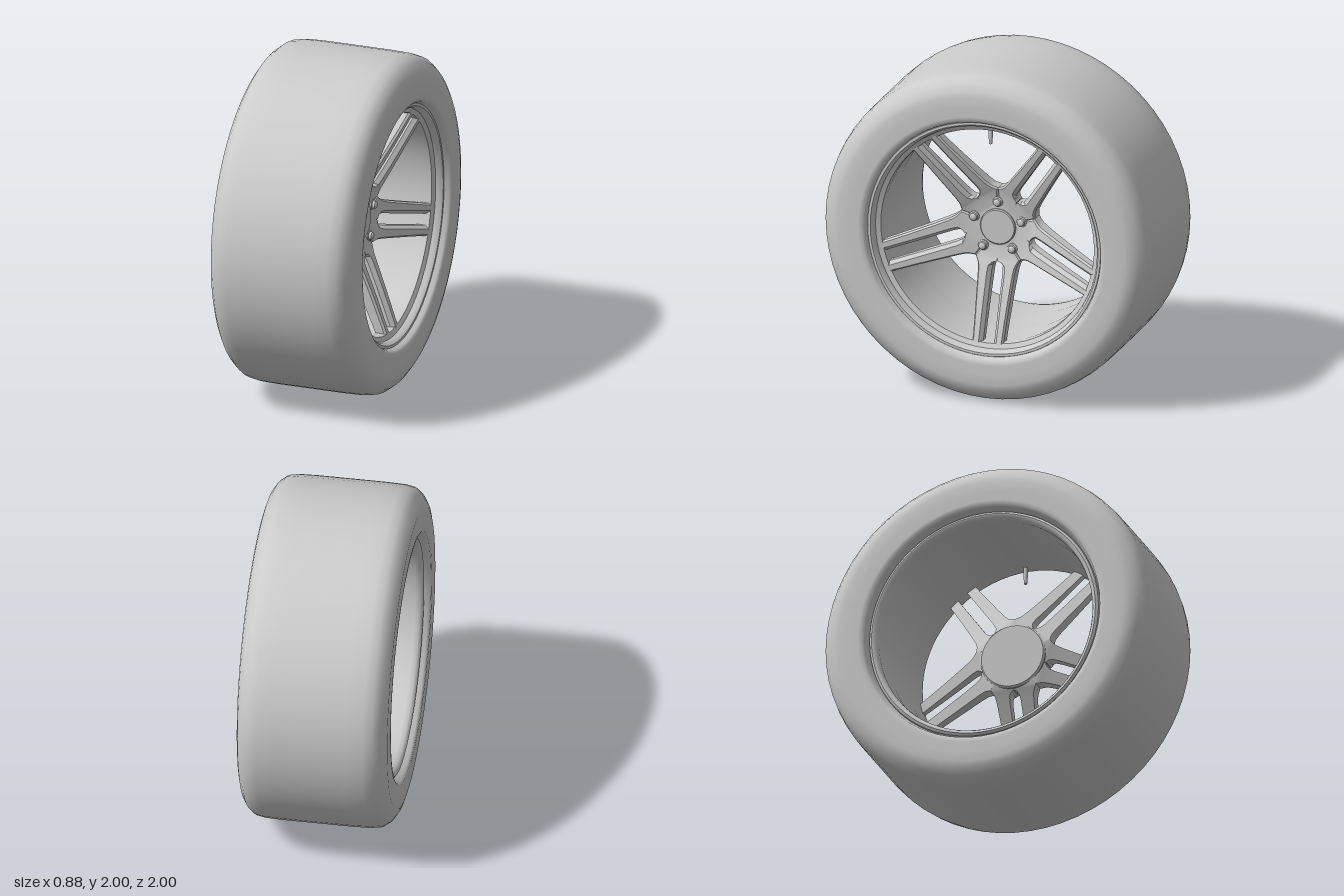
import * as THREE from 'three';
import { toCreasedNormals } from 'three/addons/utils/BufferGeometryUtils.js';

const mat = new THREE.MeshStandardMaterial({ color: 0xcccccc });

function add(parent, name, geometry) {
  const mesh = new THREE.Mesh(geometry, mat);
  mesh.name = name;
  parent.add(mesh);
  return mesh;
}

// Revolve [x, radius] points about the x axis
function revolve(points, segments, crease = 0.6) {
  const geo = new THREE.LatheGeometry(points.map(([x, r]) => new THREE.Vector2(r, x)), segments);
  geo.rotateZ(-Math.PI / 2);
  return toCreasedNormals(geo, crease);
}

// Dished wheel face: x of the front surface at a given radius
const faceX = (r) => 0.165 + 0.185 * Math.pow(Math.max(0, (r - 0.17) / 0.49), 0.9);

// Spoke stations: radius, inner edge, outer edge
const stations = [
  [0.12, 0, 0.088], [0.19, 0, 0.14], [0.208, 0.002, 0.13], [0.216, 0.018, 0.125],
  [0.235, 0.03, 0.118], [0.27, 0.034, 0.113], [0.35, 0.034, 0.108], [0.43, 0.034, 0.104],
  [0.51, 0.034, 0.1], [0.59, 0.034, 0.097], [0.66, 0.034, 0.095],
];

// One arm of a double spoke, lofted through bevelled cross-sections
function spokeArm(side) {
  const pos = [], index = [], n = 6;
  for (const [r, inner, outer] of stations) {
    const f = faceX(r), b = f - 0.095 + 0.03 * (r - 0.12) / 0.54;
    const c = 0.02 * Math.min(1, inner / 0.03);
    const section = [[b, inner], [b, outer], [f - 0.014, outer],
      [f, outer - 0.01], [f, inner + c], [f - c * 1.3, inner]];
    for (const [x, z] of section) pos.push(x, -r, z * side);
  }
  const tri = (a, b, c) => (side > 0 ? index.push(a, c, b) : index.push(a, b, c));
  const last = (stations.length - 1) * n;
  for (let j = 0; j < last; j += n) {
    for (let i = 0; i < n; i++) {
      const k = (i + 1) % n;
      tri(j + i, j + k, j + n + k);
      tri(j + i, j + n + k, j + n + i);
    }
  }
  for (let i = 1; i < n - 1; i++) tri(last, last + i, last + i + 1);
  const geo = new THREE.BufferGeometry();
  geo.setAttribute('position', new THREE.Float32BufferAttribute(pos, 3));
  geo.setIndex(index);
  return toCreasedNormals(geo, 0.5);
}

export function createModel() {
  const root = new THREE.Group();
  root.name = 'wheel';
  const wheel = new THREE.Group();
  wheel.name = 'wheelAssembly';
  wheel.position.y = 1;
  root.add(wheel);

  // Tyre: half profile from bead to tread, mirrored
  const half = [[0.36, 0.7], [0.39, 0.715], [0.425, 0.725], [0.438, 0.738], [0.44, 0.76],
    [0.438, 0.82], [0.44, 0.88], [0.43, 0.915], [0.405, 0.955], [0.365, 0.987],
    [0.31, 0.997], [0.2, 1]];
  const tyre = [...half.map(([x, r]) => [-x, r]), ...half.slice().reverse(), [-0.36, 0.7]];
  add(wheel, 'tyre', revolve(tyre, 64, 0.8));

  // Rim barrel with rolled lips on both ends
  const rim = [[-0.385, 0.665], [-0.4, 0.675], [-0.405, 0.69], [-0.395, 0.705], [-0.36, 0.71],
    [0.36, 0.72], [0.385, 0.725], [0.4, 0.715], [0.4, 0.7], [0.385, 0.688],
    [0.36, 0.682], [0.345, 0.655], [0.3, 0.652], [0.22, 0.66], [0.1, 0.655], [0.02, 0.66],
    [-0.1, 0.665], [-0.2, 0.66], [-0.3, 0.668], [-0.36, 0.66], [-0.385, 0.665]];
  add(wheel, 'rim', revolve(rim, 72, 0.8));

  // Hub and centre cap
  add(wheel, 'hub', revolve([[0.07, 0], [0.07, 0.19], [0.08, 0.2], [0.155, 0.2], [0.162, 0.19], [0.162, 0]], 40));
  add(wheel, 'centreCap', revolve([[0.16, 0.108], [0.172, 0.108], [0.178, 0.102], [0.178, 0]], 40));

  // Five double spokes with a lug nut between each pair
  const arms = [[1, 'spokeArmLeft', spokeArm(1)], [-1, 'spokeArmRight', spokeArm(-1)]];
  const nut = revolve([[0.15, 0.031], [0.172, 0.031], [0.176, 0.024], [0.19, 0.022], [0.197, 0.014], [0.199, 0]], 12);
  for (let i = 0; i < 5; i++) {
    const sector = new THREE.Group();
    sector.name = 'spoke' + (i + 1);
    sector.rotation.x = (i * Math.PI * 2) / 5;
    for (const [, name, geo] of arms) add(sector, name, geo);
    add(sector, 'lugNut', nut).position.y = 0.153;
    wheel.add(sector);
  }

  // Valve stem pointing inwards from the barrel
  add(wheel, 'valveStem', new THREE.CylinderGeometry(0.013, 0.013, 0.06, 12)).position.set(0.29, 0.63, 0);
  add(wheel, 'valveCap', new THREE.CylinderGeometry(0.013, 0.009, 0.05, 12)).position.set(0.29, 0.577, 0);
  return root;
}
